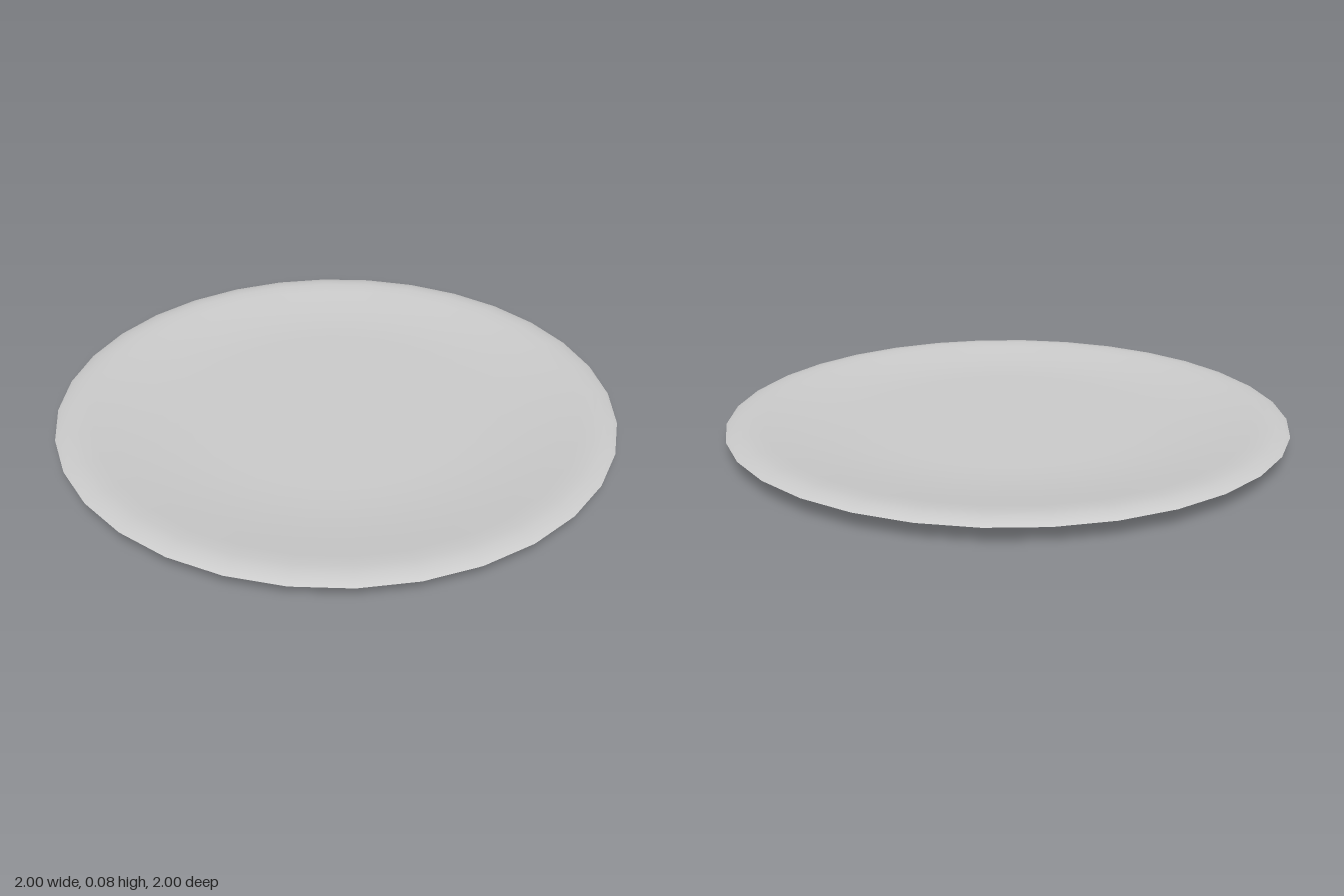
import * as THREE from 'three';

const SIDES = 32;

export function createModel() {
  const plate = new THREE.Group();
  plate.name = 'plate';
  const material = new THREE.MeshStandardMaterial({ color: 0xcccccc });

  // Revolve a profile that runs from the underside centre outwards and up to the top centre
  const turn = (name, profile) => {
    const points = profile.map(([r, y]) => new THREE.Vector2(r, y));
    const mesh = new THREE.Mesh(new THREE.LatheGeometry(points, SIDES), material);
    mesh.name = name;
    plate.add(mesh);
  };

  // Shallow recess under the base
  turn('baseRecess', [[0, 0.01], [0.622, 0.01]]);
  turn('footInnerWall', [[0.622, 0.01], [0.625, 0]]);

  // Narrow ring the plate stands on
  turn('footRing', [[0.625, 0], [0.635, 0]]);

  // Foot wall flowing into the flared underside
  turn('underside', [
    [0.635, 0], [0.635, 0.026], [0.7, 0.034], [0.8, 0.047], [0.9, 0.055], [1, 0.059],
  ]);

  // Thin outer edge, rounded lip and shallow dished top
  turn('dish', [
    [1, 0.059], [0.985, 0.067], [0.955, 0.073], [0.92, 0.075], [0.87, 0.07],
    [0.8, 0.06], [0.7, 0.049], [0.6, 0.042], [0.5, 0.04], [0, 0.04],
  ]);

  return plate;
}
